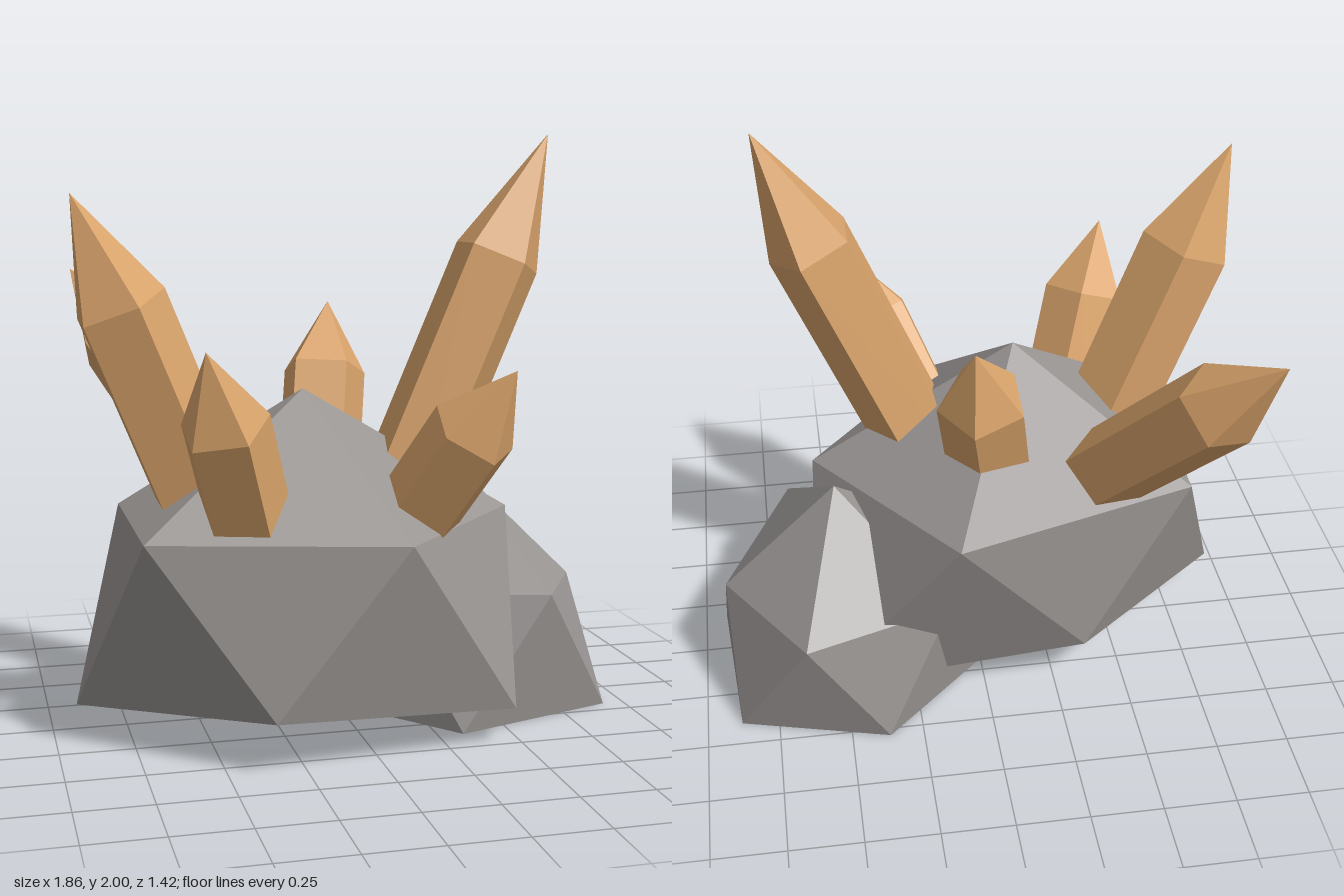
import * as THREE from 'three';

const stone = new THREE.MeshStandardMaterial({ color: 0x999593, flatShading: true });
stone.name = 'grey stone';
const amber = new THREE.MeshStandardMaterial({ color: 0xdba56c, flatShading: true });
amber.name = 'amber crystal';

// Low-poly boulder: an icosahedron whose two five-point rings are pushed in and out
function rock(name, { x, z, rx, rz, top, upper, lower, upperY, lowerY }) {
  const ring = (scales, offset, height) => scales.map((s, i) => {
    const a = (i * 72 + offset) * Math.PI / 180;
    return [x + rx * s * Math.cos(a), height(s), z + rz * s * Math.sin(a)];
  });
  const u = ring(upper, 0, upperY);
  const l = ring(lower, 36, lowerY);
  const apex = [x, top, z];
  const base = [x, 0, z];
  const faces = [];
  for (let i = 0; i < 5; i++) {
    const j = (i + 1) % 5;
    faces.push(
      apex, u[j], u[i],
      u[j], l[i], u[i],
      u[j], l[j], l[i],
      base, l[i], l[j]
    );
  }
  const geometry = new THREE.BufferGeometry();
  geometry.setAttribute('position', new THREE.Float32BufferAttribute(faces.flat(), 3));
  geometry.computeVertexNormals();
  const mesh = new THREE.Mesh(geometry, stone);
  mesh.name = name;
  return mesh;
}

// Five-sided crystal: prism of the given length below its shoulder, point above
function crystal(name, tip, shoulder, radius, length) {
  const centre = new THREE.Vector3(...shoulder);
  const axis = new THREE.Vector3(...tip).sub(centre);
  const profile = [[0, -length], [radius, -length], [radius, 0], [0, axis.length()]]
    .map(([r, y]) => new THREE.Vector2(r, y));
  const geometry = new THREE.LatheGeometry(profile, 5, Math.PI / 2).toNonIndexed();
  geometry.computeVertexNormals();
  const mesh = new THREE.Mesh(geometry, amber);
  mesh.name = name;
  mesh.position.copy(centre);
  mesh.quaternion.setFromUnitVectors(new THREE.Vector3(0, 1, 0), axis.normalize());
  return mesh;
}

export function createModel() {
  const model = new THREE.Group();
  model.name = 'crystalCluster';

  // Boulders
  model.add(rock('mainRock', {
    x: -0.16, z: 0.135, rx: 0.72, rz: 0.595, top: 1.16,
    upper: [1, 1, 1, 1, 1.26], upperY: s => 0.385 + 0.345 * s,
    lower: [1.086, 0.88, 1.07, 0.87, 1.33], lowerY: s => 0.385 - 0.24 * s
  }));
  model.add(rock('sideRock', {
    x: 0.5, z: -0.125, rx: 1, rz: 1, top: 0.8,
    upper: [0.4, 0.5, 0.45, 0.45, 0.447], upperY: s => 0.23 + 0.45 * s,
    lower: [0.525, 0.525, 0.57, 0.43, 0.47], lowerY: () => 0
  }));

  // Crystals: tip, shoulder centre, radius, prism length
  const crystals = [
    ['tallCrystal', [0.69, 2.0, 0.145], [0.516, 1.591, 0.145], 0.154, 1.0],
    ['rightCrystal', [-0.925, 1.805, 0.265], [-0.778, 1.448, 0.235], 0.16, 0.85],
    ['frontRightCrystal', [-0.57, 1.34, 0.657], [-0.5, 1.1, 0.557], 0.147, 0.52],
    ['backCrystal', [0.04, 1.415, -0.335], [0.005, 1.18, -0.25], 0.152, 0.45],
    ['frontLeftCrystal', [0.388, 1.265, 0.703], [0.29, 1.055, 0.58], 0.147, 0.5],
    ['backRightCrystal', [-0.85, 1.525, -0.717], [-0.7, 1.28, -0.537], 0.152, 0.75]
  ];
  for (const c of crystals) model.add(crystal(...c));

  return model;
}
